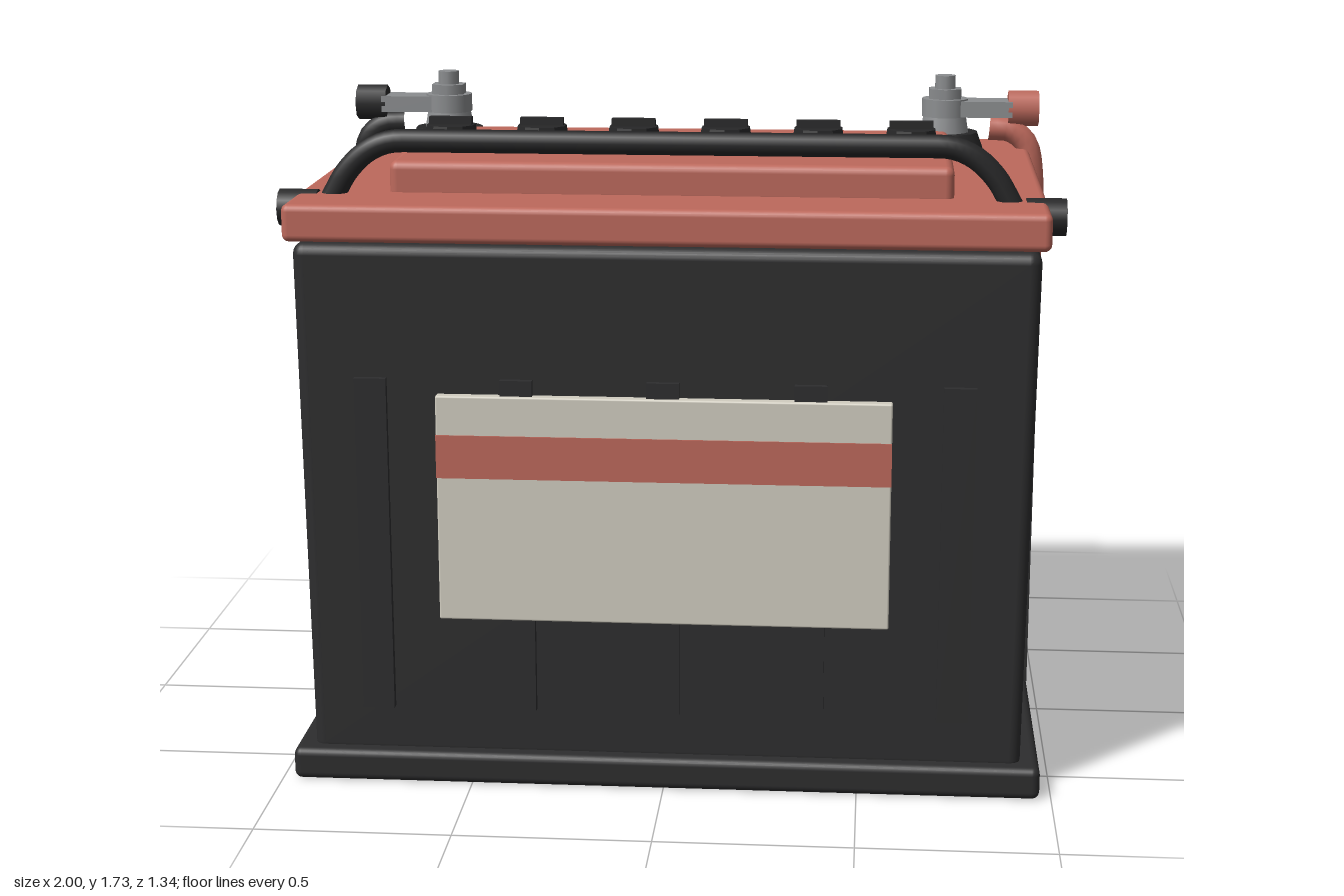
import * as THREE from 'three';
import { RoundedBoxGeometry } from 'three/addons/geometries/RoundedBoxGeometry.js';

const mat = (name, color, flatShading = false) => {
  const m = new THREE.MeshStandardMaterial({ color, flatShading });
  m.name = name;
  return m;
};

export function createModel() {
  const black = mat('case black', 0x2d2d2e);
  const trim = mat('trim black', 0x272728);
  const red = mat('lid red', 0xbd695c);
  const metal = mat('terminal grey', 0x8c8e90);
  const cream = mat('label cream', 0xd2cec1);

  const root = new THREE.Group();
  root.name = 'battery';

  const add = (name, geo, material, x = 0, y = 0, z = 0, parent = root) => {
    const m = new THREE.Mesh(geo, material);
    m.name = name;
    m.position.set(x, y, z);
    parent.add(m);
    return m;
  };
  const box = (w, h, d) => new THREE.BoxGeometry(w, h, d);
  const rounded = (w, h, d, r) => new RoundedBoxGeometry(w, h, d, 3, r);
  const cyl = (rt, rb, h, n) => new THREE.CylinderGeometry(rt, rb, h, n);

  // case: foot plate and a body narrowing slightly towards the bottom
  add('footPlate', rounded(1.94, 0.085, 1.34, 0.02), black, 0, 0.0425, 0);
  const body = rounded(1.87, 1.36, 1.28, 0.03);
  const p = body.attributes.position;
  for (let i = 0; i < p.count; i++) {
    const k = 1 - 0.016 * (0.5 - p.getY(i) / 1.36);
    p.setX(i, p.getX(i) * k);
    p.setZ(i, p.getZ(i) * k);
  }
  add('body', body, black, 0, 0.74, 0);

  // upright ribs on all four sides
  for (const s of [-1, 1]) {
    for (let i = -2; i <= 2; i++) {
      add('wallRib', box(0.082, 0.88, 0.04), black, i * 0.371, 0.64, s * 0.634);
    }
    for (const z of [-0.284, 0.284]) {
      add('sideRib', box(0.04, 0.88, 0.085), black, s * 0.928, 0.64, z);
    }
  }

  // front label with its stripe
  add('label', rounded(1.15, 0.59, 0.036, 0.005), cream, 0, 0.745, 0.646);
  add('labelStripe', box(1.15, 0.112, 0.008), red, 0, 0.883, 0.664);

  // lid and raised deck
  add('lid', rounded(1.91, 0.095, 1.31, 0.018), red, 0, 1.4725, 0);
  add('deck', rounded(1.44, 0.1, 0.68, 0.022), red, 0, 1.55, 0.1);

  // six filler caps with grip bars
  for (let i = 0; i < 6; i++) {
    const cap = new THREE.Group();
    cap.name = 'fillerCap';
    cap.position.set((i - 2.5) * 0.245, 1.6, 0.1);
    root.add(cap);
    const knob = cyl(0.066, 0.074, 0.05, 10).toNonIndexed();
    knob.computeVertexNormals();
    add('capKnob', knob, trim, 0, 0.025, 0, cap);
    add('capGrip', box(0.115, 0.022, 0.026), trim, 0, 0.059, 0, cap);
  }

  // carrying handle and side pivots
  const handlePath = new THREE.CurvePath();
  const V = (x, y, z) => new THREE.Vector3(x, y, z);
  const hz = 0.453;
  const pts = [V(-0.89, 1.46, hz), V(-0.835, 1.56, hz), V(-0.77, 1.655, hz), V(-0.68, 1.655, hz)];
  handlePath.add(new THREE.LineCurve3(pts[0], pts[1]));
  handlePath.add(new THREE.QuadraticBezierCurve3(pts[1], pts[2], pts[3]));
  handlePath.add(new THREE.LineCurve3(pts[3], V(0.68, 1.655, hz)));
  handlePath.add(new THREE.QuadraticBezierCurve3(V(0.68, 1.655, hz), V(0.77, 1.655, hz), V(0.835, 1.56, hz)));
  handlePath.add(new THREE.LineCurve3(V(0.835, 1.56, hz), V(0.89, 1.46, hz)));
  add('handle', new THREE.TubeGeometry(handlePath, 96, 0.03, 10), trim);
  for (const s of [-1, 1]) {
    add('handlePivot', cyl(0.048, 0.048, 0.1, 12), trim, s * 0.95, 1.48, hz).rotation.z = Math.PI / 2;
  }

  // terminals, clamps and cables, one per side
  const tz = -0.473;
  for (const s of [-1, 1]) {
    const wire = s > 0 ? red : trim;
    const t = new THREE.Group();
    t.name = s > 0 ? 'leftTerminal' : 'rightTerminal';
    t.position.set(s * 0.713, 1.52, tz);
    root.add(t);
    add('terminalBoss', cyl(0.095, 0.112, 0.045, 14), trim, 0, 0.0225, 0, t);
    add('terminalPost', cyl(0.06, 0.07, 0.06, 14), metal, 0, 0.07, 0, t);
    add('clampRing', cyl(0.066, 0.066, 0.05, 14), metal, 0, 0.115, 0, t);
    add('clampArm', box(0.17, 0.045, 0.095), metal, s * 0.105, 0.113, 0, t);
    add('clampNut', cyl(0.052, 0.052, 0.03, 6), metal, 0, 0.153, 0, t);
    add('clampBolt', cyl(0.03, 0.03, 0.05, 10), metal, 0, 0.18, 0, t);
    add('cableBoot', cyl(0.05, 0.05, 0.086, 8), wire, s * 0.222, 0.113, 0, t).rotation.z = Math.PI / 2;

    const path = new THREE.CatmullRomCurve3([
      [0.84, 1.575], [0.9, 1.57], [0.945, 1.535], [0.964, 1.45], [0.966, 1.2], [0.962, 0.85], [0.954, 0.54],
    ].map(([x, y]) => V(s * x, y, tz)));
    add('cable', new THREE.TubeGeometry(path, 48, 0.034, 10), wire);
    const end = add('cableEnd', new THREE.CircleGeometry(0.034, 10), wire, s * 0.954, 0.54, tz);
    end.rotation.x = Math.PI / 2;

    // polarity marks
    add('polarityBar', box(0.112, 0.008, 0.026), cream, s * 0.497, 1.523, tz);
    if (s > 0) add('polarityCrossBar', box(0.026, 0.008, 0.112), cream, 0.497, 1.5235, tz);
  }
  return root;
}
